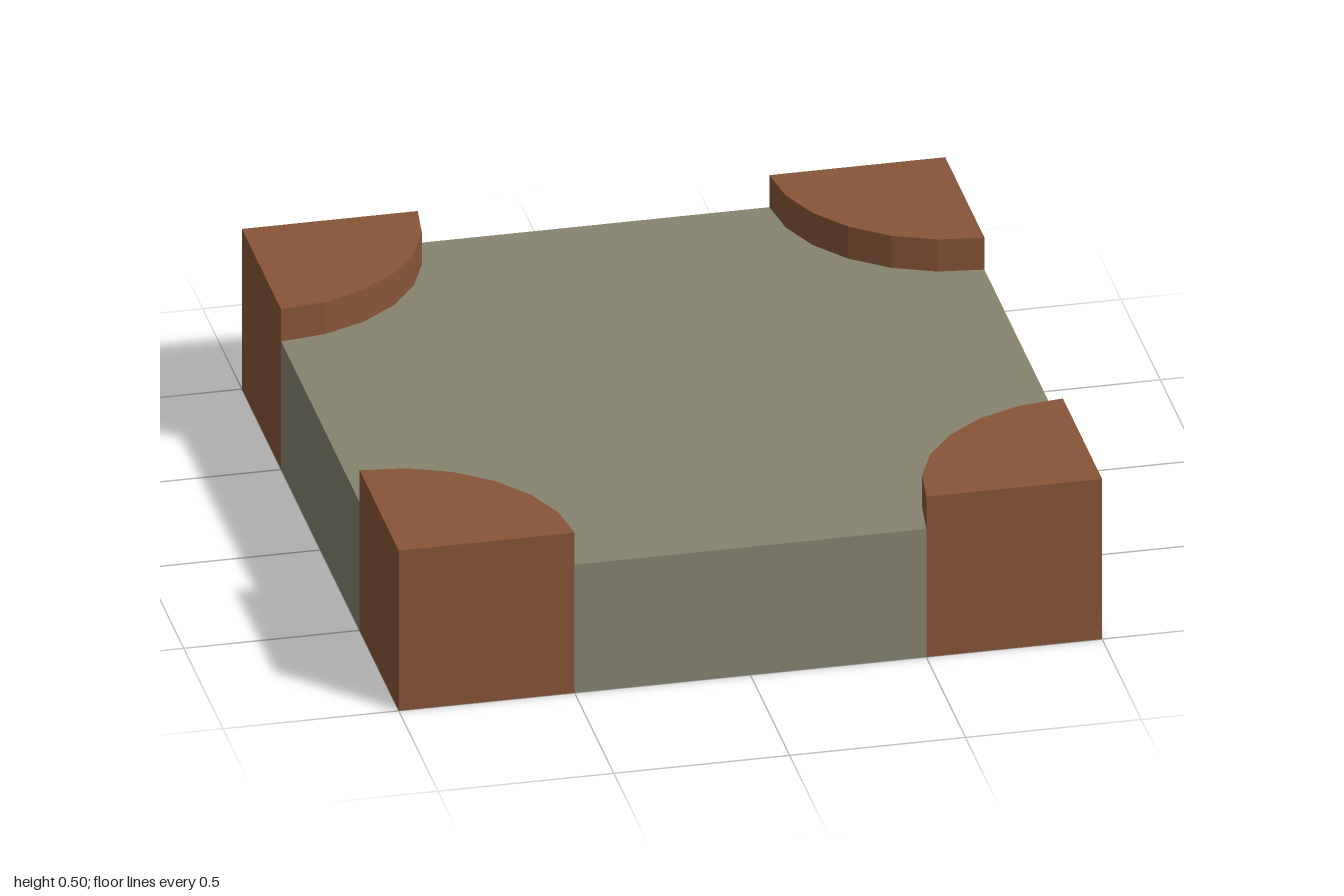
import * as THREE from 'three';

const R = 0.5;      // corner size
const STEPS = 6;    // facets per quarter circle
const SPLIT = 0.2;  // square feet below, round posts above

const stone = new THREE.MeshStandardMaterial({ color: 0x878570, flatShading: true });
const brick = new THREE.MeshStandardMaterial({ color: 0x885539, flatShading: true });

// Inner edge of the corner block at (1, 1), from (1, 1 - R) to (1 - R, 1)
function cornerEdge(round) {
  if (!round) return [[1, 1 - R], [1 - R, 1 - R], [1 - R, 1]].map(p => new THREE.Vector2(...p));
  return Array.from({ length: STEPS + 1 }, (_, i) => {
    const a = (i / STEPS) * Math.PI / 2;
    return new THREE.Vector2(1 - R * Math.sin(a), 1 - R * Math.cos(a));
  });
}

// Extrudes a plan outline upward from y0 to y1
function layer(name, points, y0, y1, material) {
  const geometry = new THREE.ExtrudeGeometry(new THREE.Shape(points), { depth: y1 - y0, bevelEnabled: false });
  geometry.rotateX(-Math.PI / 2).translate(0, y0, 0);
  const mesh = new THREE.Mesh(geometry, material);
  mesh.name = name;
  return mesh;
}

// Square outline with all four corners cut away
function notchedOutline(round) {
  const points = [];
  for (let i = 0; i < 4; i++) {
    for (const p of cornerEdge(round)) {
      points.push(p.rotateAround(new THREE.Vector2(), i * Math.PI / 2));
    }
  }
  return points;
}

export function createModel() {
  const model = new THREE.Group();
  model.name = 'corneredPlatform';

  // Slab: square notches below, round notches on top
  model.add(layer('slabBase', notchedOutline(false), 0, SPLIT, stone));
  model.add(layer('slabTop', notchedOutline(true), SPLIT, 0.4, stone));

  // Four corner pillars: square foot and quarter-round post
  const corner = new THREE.Vector2(1, 1);
  for (let i = 0; i < 4; i++) {
    const pillar = new THREE.Group();
    pillar.name = 'cornerPillar' + (i + 1);
    pillar.add(layer('foot', [...cornerEdge(false), corner], 0, SPLIT, brick));
    pillar.add(layer('post', [...cornerEdge(true), corner], SPLIT, 0.5, brick));
    pillar.rotation.y = i * Math.PI / 2;
    model.add(pillar);
  }
  return model;
}
